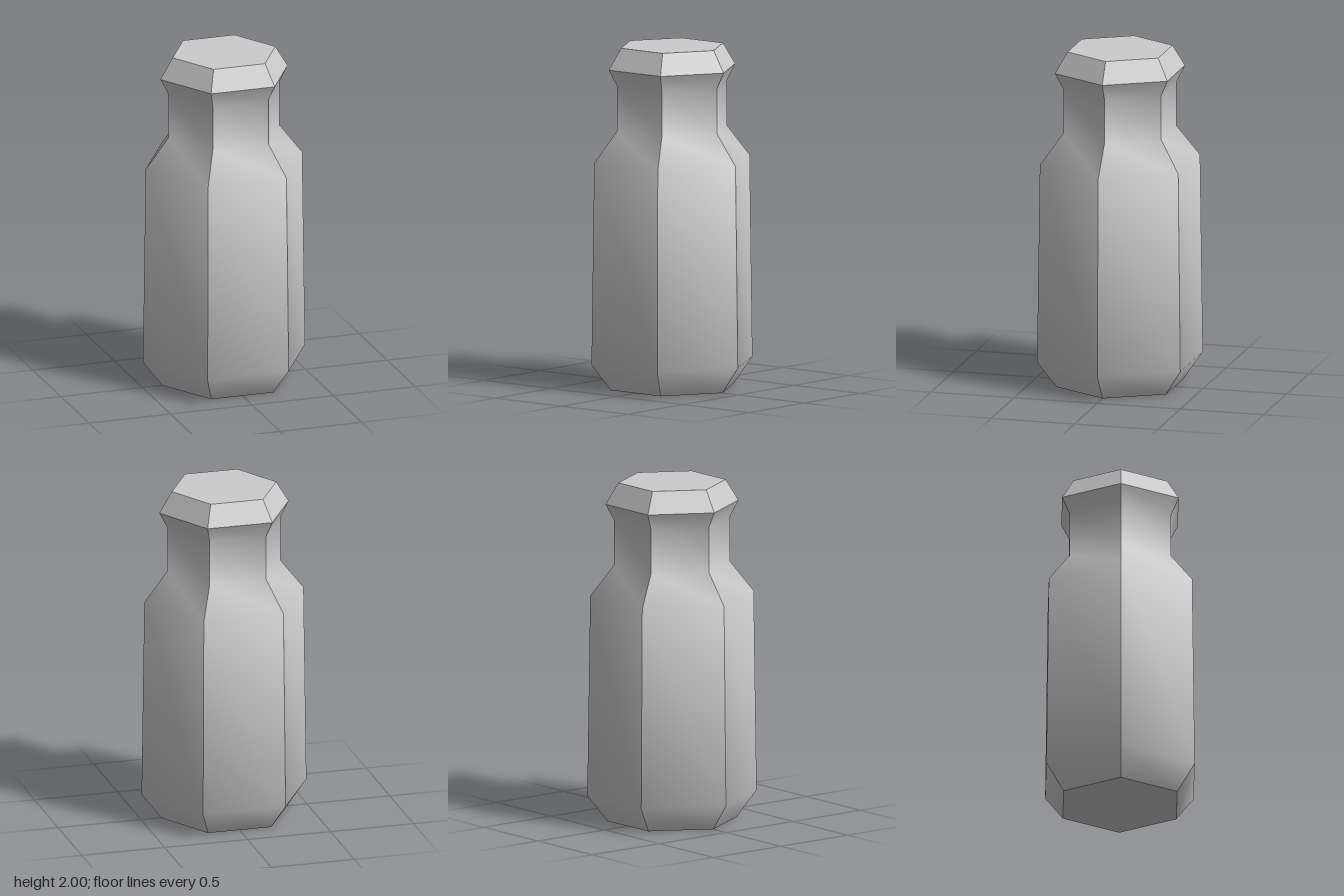
import * as THREE from 'three';
import { toCreasedNormals } from 'three/addons/utils/BufferGeometryUtils.js';

export function createModel() {
  const group = new THREE.Group();
  group.name = 'hexagonalBottle';

  // Corner radius and height, from the base centre up to the lid centre
  const profile = [
    [0, 0],
    [0.38, 0],
    [0.497, 0.155], // base bevel
    [0.48, 1.335], // tapering body
    [0.34, 1.515], // shoulder
    [0.34, 1.78], // neck
    [0.39, 1.875], // rim
    [0.315, 2], // lid bevel
    [0, 2],
  ].map(([r, y]) => new THREE.Vector2(r, y));

  // Six sides with corners on the x axis; smooth along the profile, sharp between sides
  const hexagon = new THREE.LatheGeometry(profile, 6, Math.PI / 2);
  const geometry = toCreasedNormals(hexagon, THREE.MathUtils.degToRad(45));

  const bottle = new THREE.Mesh(geometry, new THREE.MeshStandardMaterial({ color: 0xcccccc }));
  bottle.name = 'bottle';
  group.add(bottle);
  return group;
}
